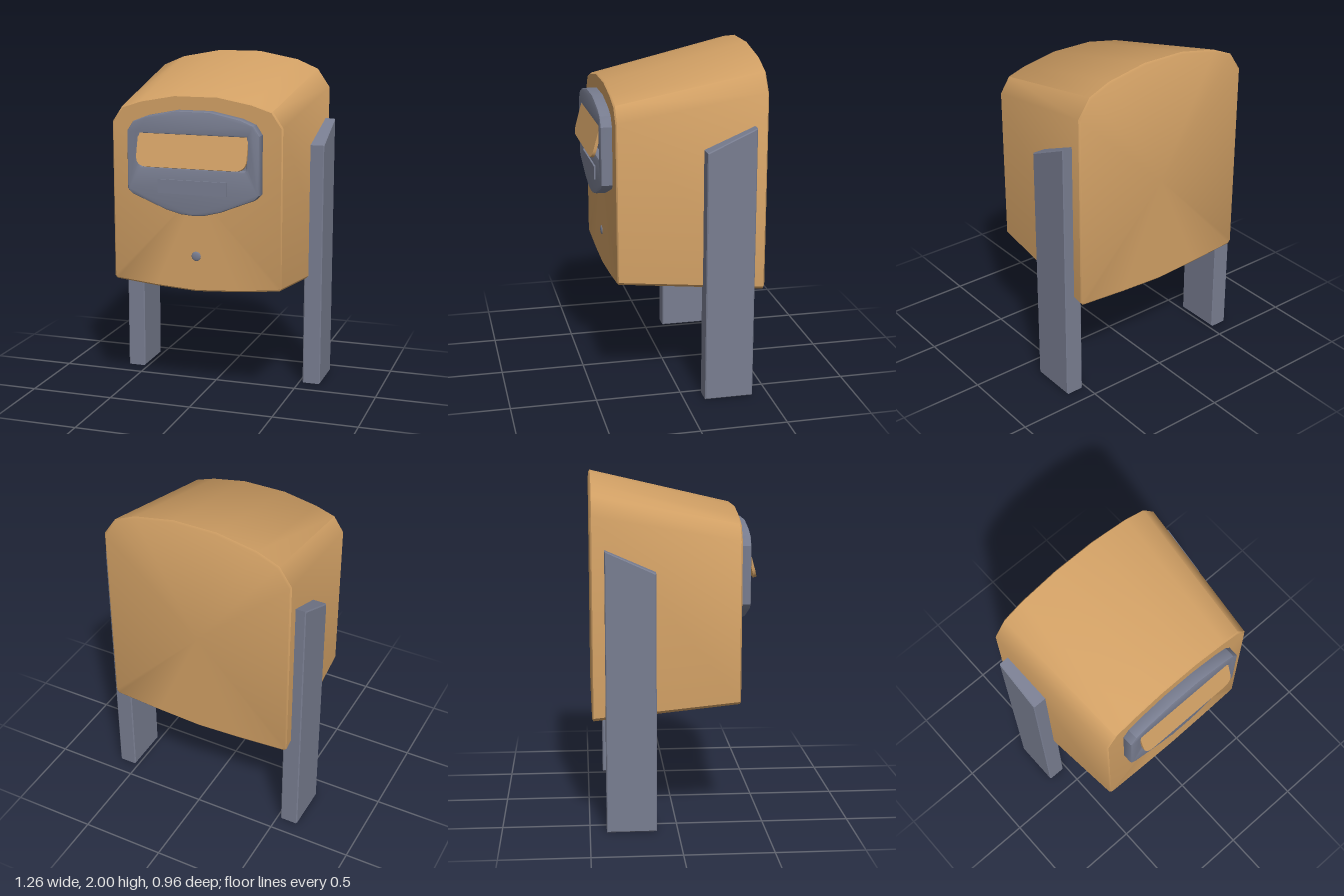
import * as THREE from 'three';
import { toCreasedNormals } from 'three/addons/utils/BufferGeometryUtils.js';

const mat = (name, color, side = THREE.FrontSide) => {
  const m = new THREE.MeshStandardMaterial({ color, side });
  m.name = name;
  return m;
};

// Close a right-hand half outline (bottom centre first) by mirroring it
const mirrored = (half) => [
  ...half,
  ...half.slice().reverse().filter(([x]) => x > 0).map(([x, y]) => [-x, y]),
];

// Skin a stack of equal-length sections, back to front, and cap both ends
function loft(sections) {
  const pos = [];
  const tri = (...p) => p.forEach((v) => pos.push(...v));
  const n = sections[0].length;
  for (let s = 0; s < sections.length - 1; s++) {
    const a = sections[s], b = sections[s + 1];
    for (let i = 0; i < n; i++) {
      const j = (i + 1) % n;
      tri(a[i], a[j], b[j]);
      tri(a[i], b[j], b[i]);
    }
  }
  const back = sections[0], front = sections[sections.length - 1];
  for (let i = 0; i < n; i++) {
    const j = (i + 1) % n;
    tri([0, 1.25, front[0][2]], front[i], front[j]);
    tri([0, 1.25, back[0][2]], back[j], back[i]);
  }
  const g = new THREE.BufferGeometry();
  g.setAttribute('position', new THREE.Float32BufferAttribute(pos, 3));
  return toCreasedNormals(g, 0.66);
}

const shapeOf = (pts) => new THREE.Shape(pts.map(([x, y]) => new THREE.Vector2(x, y)));

// Rectangle with rounded lower corners
function pocketPoints(w, top, bottom, r) {
  const s = new THREE.Shape();
  s.moveTo(-w, top);
  s.lineTo(-w, bottom + r);
  s.quadraticCurveTo(-w, bottom, -w + r, bottom);
  s.lineTo(w - r, bottom);
  s.quadraticCurveTo(w, bottom, w, bottom + r);
  s.lineTo(w, top);
  return s.getPoints(6);
}

export function createModel() {
  const root = new THREE.Group();
  root.name = 'postBox';
  const tan = mat('tan paint', 0xd09f64);
  const grey = mat('slate grey', 0x787d90);
  const add = (name, geometry, material) => {
    const m = new THREE.Mesh(geometry, material);
    m.name = name;
    root.add(m);
    return m;
  };

  // Body: arched section tapering towards the front
  const backHalf = [[0, 0.6], [0.27, 0.614], [0.56, 0.637], [0.575, 0.655], [0.575, 1.79],
    [0.5, 1.9], [0.37, 1.955], [0.13, 2]];
  const frontHalf = [[0, 0.665], [0.25, 0.68], [0.497, 0.705], [0.51, 0.72], [0.51, 1.64],
    [0.45, 1.73], [0.335, 1.768], [0.13, 1.806]];
  const ring = (half, z, k = 1) =>
    mirrored(half).map(([x, y]) => [x * k, 1.25 + (y - 1.25) * k, z]);
  add('body', loft([
    ring(backHalf, -0.48, 0.985), ring(backHalf, -0.472),
    ring(frontHalf, 0.362), ring(frontHalf, 0.37, 0.985),
  ]), tan);

  // Legs: slant-topped posts, profile drawn in depth and height
  const legShape = shapeOf([[0.126, 0.006], [0.399, 0.006], [0.399, 1.6], [0.126, 1.476]]);
  for (const side of [1, -1]) {
    const g = new THREE.ExtrudeGeometry(legShape, {
      depth: 0.098, bevelThickness: 0.006, bevelSize: 0.006, bevelSegments: 1,
    });
    g.rotateY(Math.PI / 2);
    g.translate(side * 0.575 - 0.049, 0, 0);
    add(side > 0 ? 'leftLeg' : 'rightLeg', g, grey);
  }

  // Face panel with a pocket for the mail slot
  const panel = shapeOf(mirrored([[0, 1.137], [0.07, 1.142], [0.16, 1.165], [0.36, 1.245],
    [0.383, 1.268], [0.383, 1.595], [0.35, 1.645], [0.275, 1.675], [0.1, 1.71]]));
  panel.holes.push(new THREE.Path(pocketPoints(0.33, 1.6, 1.385, 0.03)));
  add('facePanel', toCreasedNormals(new THREE.ExtrudeGeometry(panel, {
    depth: 0.065, bevelThickness: 0.01, bevelSize: 0.012, bevelOffset: 0, bevelSegments: 2,
  }), 0.5), grey).position.z = 0.36;
  const floor = add('slotBack', new THREE.BoxGeometry(0.68, 0.24, 0.04), grey);
  floor.position.set(0, 1.493, 0.375);

  // Mail flap, hinged at the top and swung outwards
  const flap = add('mailFlap', toCreasedNormals(new THREE.ExtrudeGeometry(
    shapeOf(pocketPoints(0.328, 0, -0.202, 0.065)),
    { depth: 0.018, bevelEnabled: false },
  ), 0.5), tan);
  flap.position.set(0, 1.595, 0.408);
  flap.rotation.x = -0.27;

  // Raised label plate below the slot
  const label = add('labelPlate', new THREE.BoxGeometry(0.41, 0.08, 0.02), grey);
  label.position.set(0, 1.29, 0.435);

  // Lock button
  const button = add('lockButton', new THREE.SphereGeometry(0.028, 20, 12), grey);
  button.position.set(0, 0.875, 0.37);
  button.scale.z = 0.3;

  return root;
}
